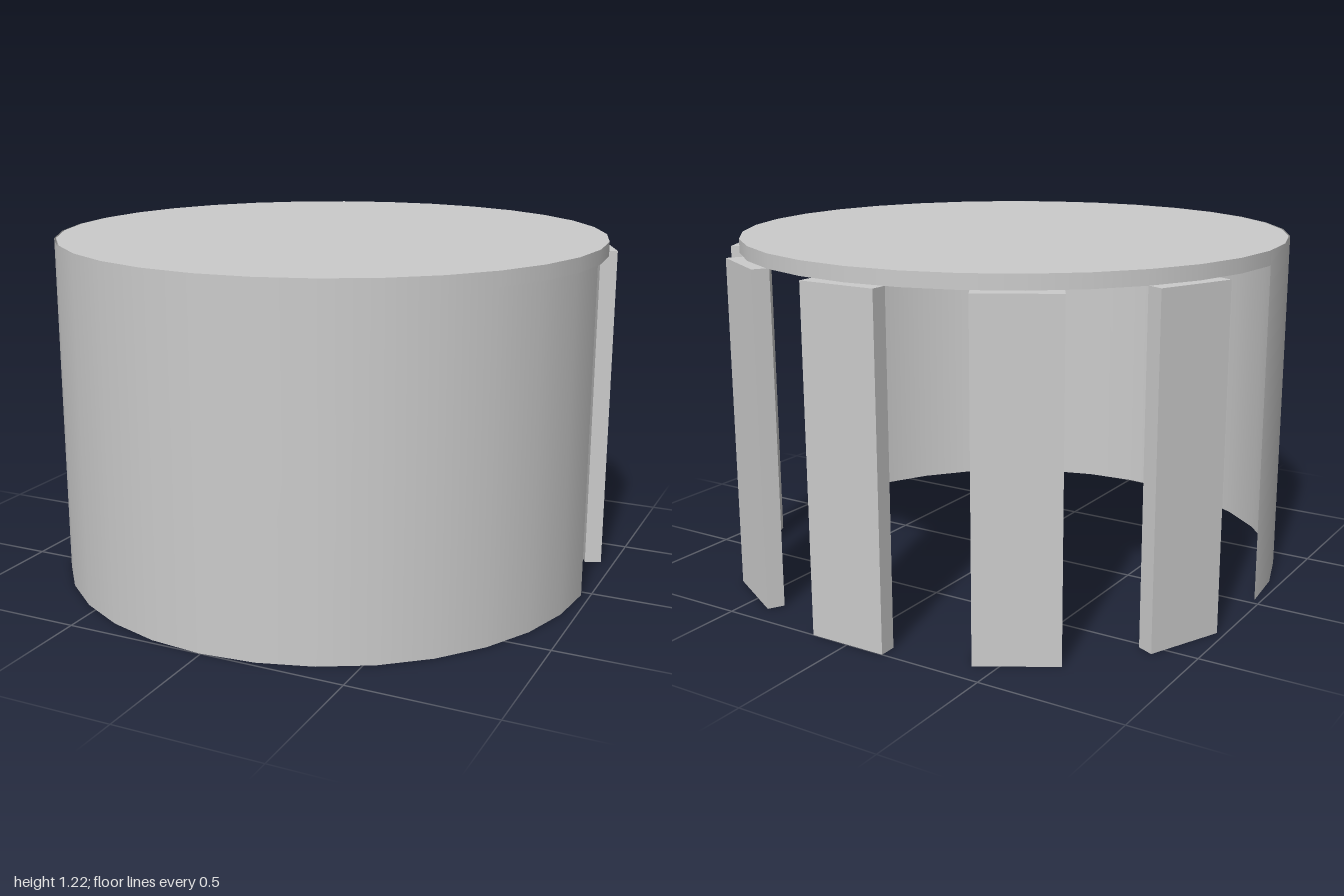
import * as THREE from 'three';

export function createModel() {
  const model = new THREE.Group();
  const grey = new THREE.MeshStandardMaterial({ color: 0xcccccc });
  const greyThin = new THREE.MeshStandardMaterial({ color: 0xcccccc, side: THREE.DoubleSide });

  const add = (name, geometry, material, x, y, z) => {
    const mesh = new THREE.Mesh(geometry, material);
    mesh.name = name;
    mesh.position.set(x, y, z);
    model.add(mesh);
    return mesh;
  };

  const roofHeight = 1.22;
  const pillarHeight = 1.17;

  // Flat round roof
  const roofThickness = roofHeight - pillarHeight;
  add('roof', new THREE.CylinderGeometry(0.975, 0.975, roofThickness, 32), grey,
    0, roofHeight - roofThickness / 2, 0.018);

  // Thin half-round wall closing the front
  add('curvedWall',
    new THREE.CylinderGeometry(0.973, 0.973, roofHeight, 16, 1, true, -Math.PI / 2, Math.PI),
    greyThin, -0.004, roofHeight / 2, 0.027);

  // Flat pillars around the open back: centre x, centre z, turn in degrees
  const pillars = [
    ['backPillar', 0, -0.97, 0],
    ['backLeftPillar', 0.515, -0.824, 30],
    ['backRightPillar', -0.53, -0.822, -31],
    ['leftPillar', 0.868, -0.42, 65],
    ['rightPillar', -0.89, -0.408, -66],
  ];
  const pillarGeometry = new THREE.BoxGeometry(0.28, pillarHeight, 0.06);
  for (const [name, x, z, turn] of pillars) {
    const pillar = add(name, pillarGeometry, grey, x, pillarHeight / 2, z);
    pillar.rotation.y = -THREE.MathUtils.degToRad(turn);
  }

  return model;
}
